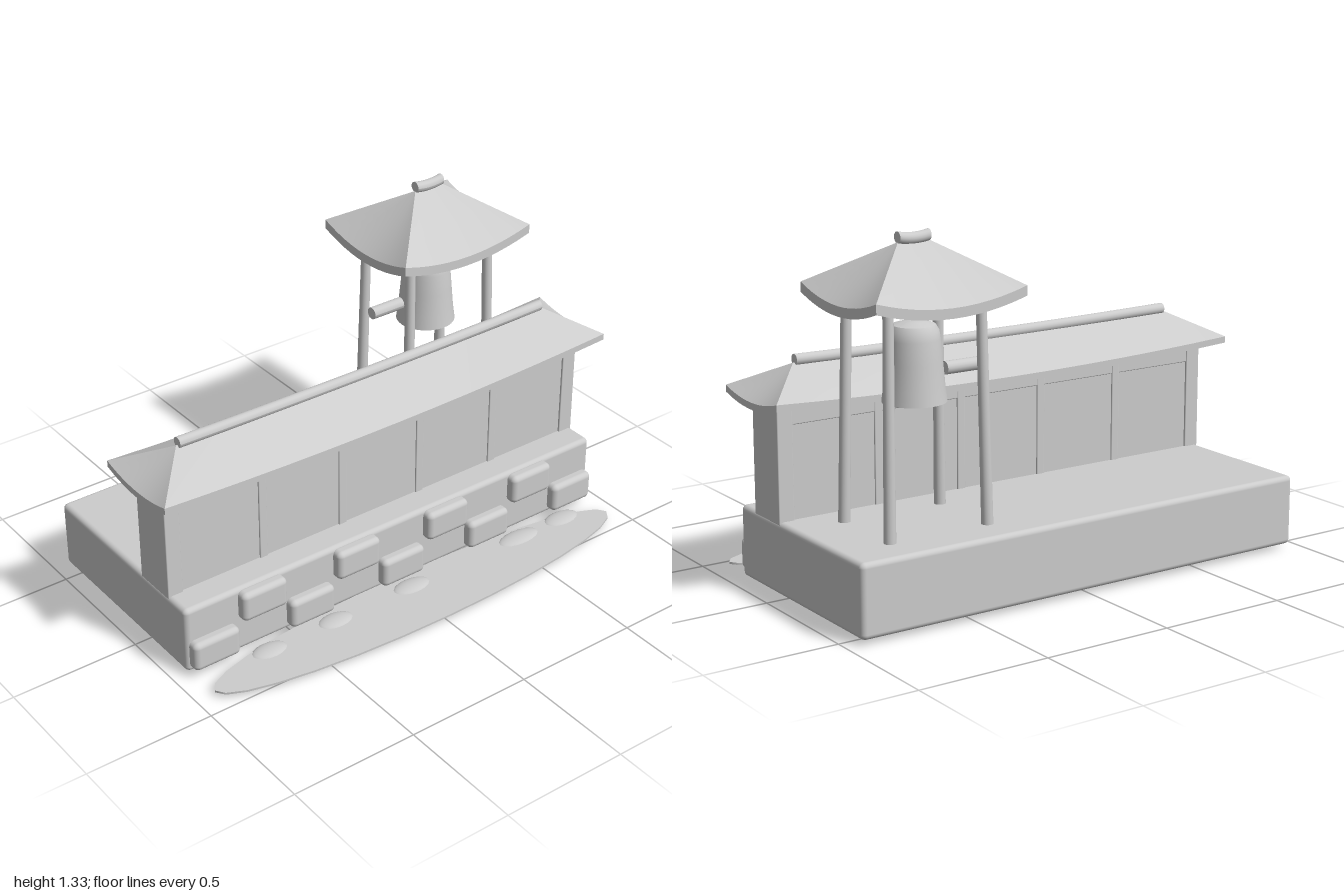
import * as THREE from 'three';
import { toCreasedNormals } from 'three/addons/utils/BufferGeometryUtils.js';
import { RoundedBoxGeometry } from 'three/addons/geometries/RoundedBoxGeometry.js';

export function createModel() {
  const model = new THREE.Group();
  model.name = 'bellTowerAndWall';
  const clay = new THREE.MeshStandardMaterial({ color: 0xcccccc });
  clay.name = 'light grey';

  const add = (name, geometry, x = 0, y = 0, z = 0) => {
    const mesh = new THREE.Mesh(geometry, clay);
    mesh.name = name;
    mesh.position.set(x, y, z);
    model.add(mesh);
    return mesh;
  };
  const box = (name, x0, x1, y0, y1, z0, z1, r = 0.004) =>
    add(name, new RoundedBoxGeometry(x1 - x0, y1 - y0, z1 - z0, 3, r),
      (x0 + x1) / 2, (y0 + y1) / 2, (z0 + z1) / 2);

  // Hipped shell roof: rings run from ridge to eave, round the fascia and back underneath
  function hippedRoof({ halfX, halfZ, ridge, top, eave, sag, thick }) {
    const n = 12;
    const rings = [[], [], [], []];
    const corners = [[-1, 1], [1, 1], [1, -1], [-1, -1]];
    for (let s = 0; s < 4; s++) {
      const a = corners[s], b = corners[(s + 1) % 4];
      for (let i = 0; i < n; i++) {
        const t = i / n, u = 2 * t - 1;
        const px = a[0] + (b[0] - a[0]) * t, pz = a[1] + (b[1] - a[1]) * t;
        const y = eave - sag * (1 - u * u);
        rings[0].push([px * ridge, top, 0]);
        rings[1].push([px * halfX, y, pz * halfZ]);
        rings[2].push([px * halfX, y - thick, pz * halfZ]);
        rings[3].push([px * ridge, top - thick, 0]);
      }
    }
    const pos = [];
    const tri = (a, b, c) => {
      const same = (p, q) => p.every((v, k) => Math.abs(v - q[k]) < 1e-6);
      if (!same(a, b) && !same(b, c) && !same(a, c)) pos.push(...a, ...b, ...c);
    };
    for (let k = 0; k < 3; k++) {
      const up = rings[k], low = rings[k + 1];
      for (let i = 0; i < up.length; i++) {
        const j = (i + 1) % up.length;
        tri(low[i], low[j], up[j]);
        tri(low[i], up[j], up[i]);
      }
    }
    const g = new THREE.BufferGeometry();
    g.setAttribute('position', new THREE.Float32BufferAttribute(pos, 3));
    return toCreasedNormals(g, 0.4);
  }

  // Ridge log along x, dipping slightly in the middle
  function ridgeLog(length, radius, dip) {
    const g = new THREE.CylinderGeometry(radius, radius, length, 16, 12);
    g.rotateZ(Math.PI / 2);
    const p = g.attributes.position;
    for (let i = 0; i < p.count; i++) {
      const u = p.getX(i) / (length / 2);
      p.setY(i, p.getY(i) - dip * (1 - u * u));
    }
    g.computeVertexNormals();
    return g;
  }

  // Stone terrace
  box('terrace', -0.95, 0.95, 0.02, 0.29, -0.575, 0.275, 0.02);

  // Facing stones in two staggered rows
  for (const x of [-0.84, -0.42, 0, 0.415, 0.84])
    box('lowerStone', x - 0.098, x + 0.098, 0.037, 0.155, 0.255, 0.315, 0.022);
  for (const x of [-0.63, -0.21, 0.21, 0.625])
    box('upperStone', x - 0.097, x + 0.097, 0.16, 0.28, 0.255, 0.315, 0.022);

  // Wall with posts and top beam
  box('wallPanel', -0.94, 0.94, 0.28, 0.73, -0.004, 0.16);
  for (const s of [-1, 1])
    box('cornerPost', s * 0.917 - 0.031, s * 0.917 + 0.031, 0.28, 0.71, -0.012, 0.168);
  for (const x of [-0.535, -0.18, 0.18, 0.535])
    box('wallPost', x - 0.017, x + 0.017, 0.28, 0.71, -0.01, 0.166);
  box('wallBeam', -0.942, 0.942, 0.635, 0.71, -0.008, 0.164);

  // Wall roof
  add('wallRoof', hippedRoof({
    halfX: 1, halfZ: 0.187, ridge: 0.83, top: 0.835, eave: 0.742, sag: 0.028, thick: 0.025,
  }), 0, 0, 0.078);
  add('wallRidge', ridgeLog(1.65, 0.021, 0.008), 0, 0.845, 0.078);

  // Bell tower
  const cx = 0.55, cz = -0.275;
  add('towerRoof', hippedRoof({
    halfX: 0.3, halfZ: 0.25, ridge: 0.06, top: 1.29, eave: 1.142, sag: 0.046, thick: 0.036,
  }), cx, 0, cz);
  add('towerRidge', ridgeLog(0.125, 0.021, 0.007), cx, 1.306, cz);

  // Four posts leaning slightly inwards
  for (const sx of [-1, 1]) for (const sz of [-1, 1]) {
    const foot = new THREE.Vector3(cx + sx * 0.2, 0.28, cz + sz * 0.153);
    const head = new THREE.Vector3(cx + sx * 0.186, 1.12, cz + sz * 0.136);
    const dir = head.clone().sub(foot);
    const post = add('towerPost', new THREE.CylinderGeometry(0.019, 0.022, dir.length(), 16));
    post.position.copy(foot).add(head).multiplyScalar(0.5);
    post.quaternion.setFromUnitVectors(new THREE.Vector3(0, 1, 0), dir.normalize());
  }

  // Bell, closed below
  const bell = [[0, 0.73], [0.115, 0.73], [0.108, 0.78], [0.1, 0.87], [0.093, 0.95],
    [0.088, 0.98], [0.076, 1.0], [0.04, 1.011], [0, 1.016]].map(([r, y]) => new THREE.Vector2(r, y));
  add('bell', toCreasedNormals(new THREE.LatheGeometry(bell, 32), 0.7), cx, 0, cz);

  // Striking log beside the bell
  add('striker', ridgeLog(0.14, 0.024, 0), 0.355, 0.83, cz);

  // Shallow pond with flat stones
  const pond = new THREE.CylinderGeometry(1, 1, 0.008, 28);
  pond.scale(0.93, 1, 0.153);
  add('pond', pond, 0, 0.024, 0.42);
  for (const [x, r] of [[-0.645, 0.077], [-0.35, 0.077], [0.005, 0.085], [0.535, 0.1], [0.755, 0.083]]) {
    const stone = new THREE.SphereGeometry(1, 16, 10);
    stone.scale(r, 0.019, 0.047);
    add('pondStone', stone, x, 0.021, 0.347);
  }
  return model;
}
